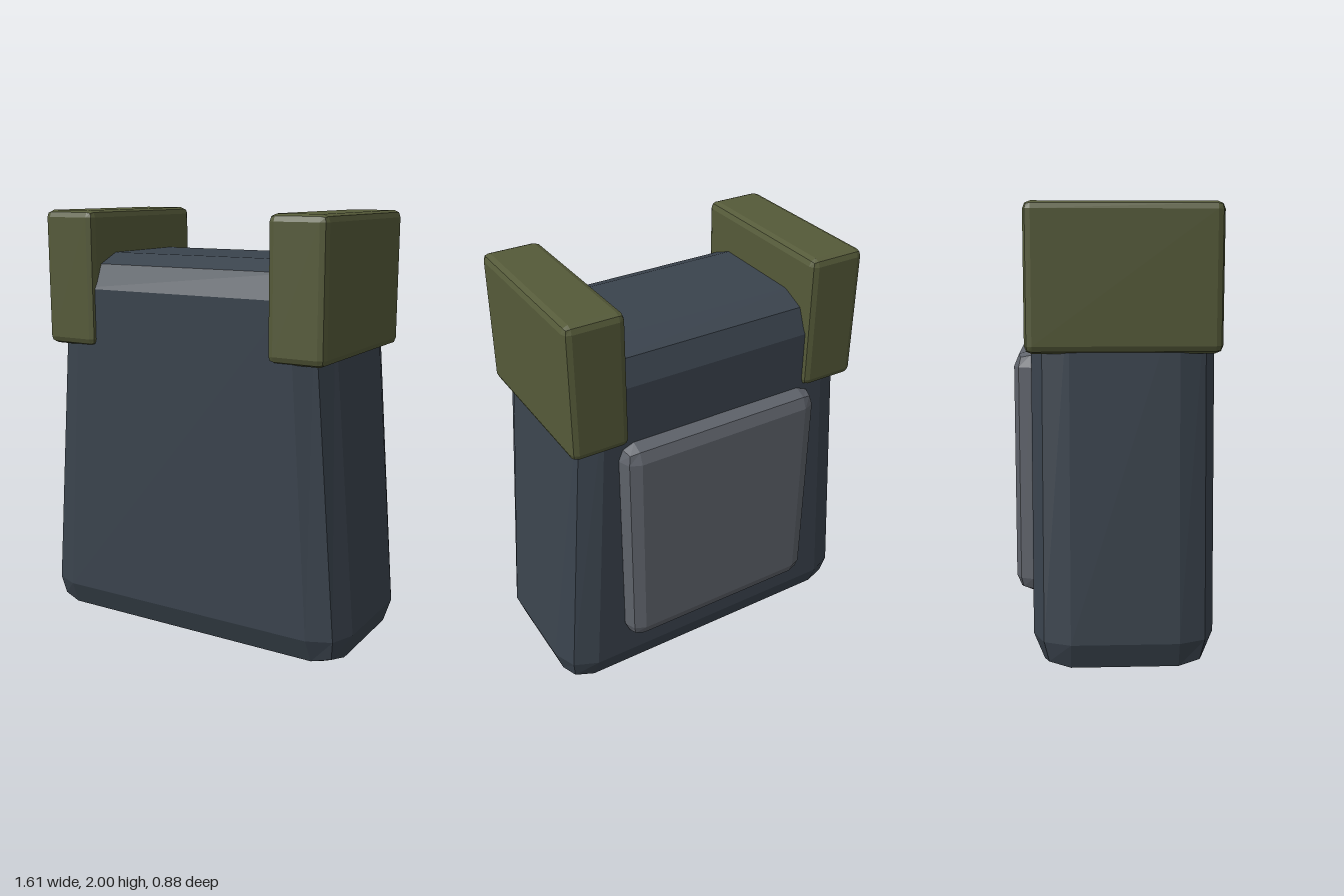
import * as THREE from 'three';
import { RoundedBoxGeometry } from 'three/addons/geometries/RoundedBoxGeometry.js';

const material = (color) => new THREE.MeshStandardMaterial({ color, flatShading: true });

// Box with two-facet bevelled edges, spanning min to max on each axis
function bevelBox(name, [x0, x1], [y0, y1], [z0, z1], radius, mat) {
  const geo = new RoundedBoxGeometry(x1 - x0, y1 - y0, z1 - z0, 1, radius);
  geo.translate((x0 + x1) / 2, (y0 + y1) / 2, (z0 + z1) / 2);
  const mesh = new THREE.Mesh(geo, mat);
  mesh.name = name;
  return mesh;
}

// Narrow a geometry in x linearly with height
function taper(geo, height, topScale) {
  const p = geo.attributes.position;
  for (let i = 0; i < p.count; i++) {
    p.setX(i, p.getX(i) * THREE.MathUtils.lerp(1, topScale, p.getY(i) / height));
  }
  geo.computeVertexNormals();
}

export function createModel() {
  const model = new THREE.Group();
  model.name = 'armouredTorso';
  const cloth = material(0x3a434d);
  const olive = material(0x555a39);
  const steel = material(0x5e626a);

  // Torso, wider at the base
  const torso = bevelBox('torso', [-0.82, 0.82], [0, 1.805], [-0.36, 0.42], 0.16, cloth);
  taper(torso.geometry, 1.805, 0.813);
  model.add(torso);

  // Plate on the back
  model.add(bevelBox('backPlate', [-0.5, 0.5], [0.28, 1.375], [-0.44, -0.29], 0.073, steel));

  // Shoulder blocks
  for (const side of [1, -1]) {
    const xs = side > 0 ? [0.45, 0.72] : [-0.72, -0.45];
    const name = side > 0 ? 'leftShoulderBlock' : 'rightShoulderBlock';
    model.add(bevelBox(name, xs, [1.38, 2], [-0.385, 0.44], 0.032, olive));
  }
  return model;
}
